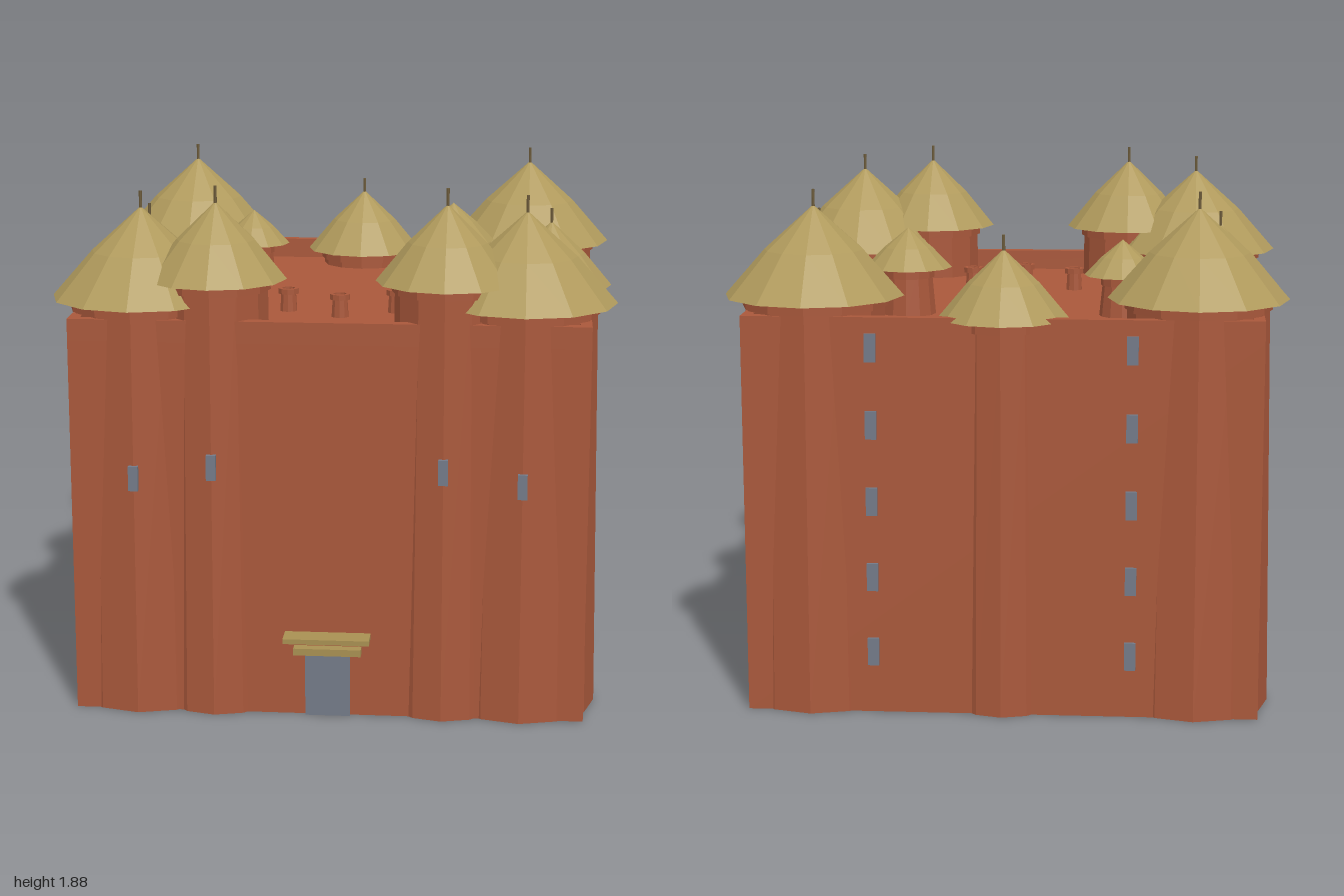
import * as THREE from 'three';

const material = (name, color, side = THREE.FrontSide) => {
  const m = new THREE.MeshStandardMaterial({ color, flatShading: true, side });
  m.name = name;
  return m;
};

export function createModel() {
  const clay = material('red clay', 0xa9583b);
  const thatch = material('straw thatch', 0xb09a5c);
  const wood = material('pale wood', 0xa89052);
  const slate = material('slate blue', 0x737a88);
  const darkWood = material('dark wood', 0x6b5a3a);

  const fort = new THREE.Group();
  fort.name = 'clayFort';

  const add = (parent, name, geometry, mat, x, y, z) => {
    const mesh = new THREE.Mesh(geometry, mat);
    mesh.name = name;
    mesh.position.set(x, y, z);
    parent.add(mesh);
    return mesh;
  };
  // Box given by its centre in x and z and its bottom height
  const box = (name, mat, w, h, d, x, y, z, parent = fort) =>
    add(parent, name, new THREE.BoxGeometry(w, h, d), mat, x, y + h / 2, z);

  // Main block and parapet
  const half = 0.908, roofY = 1.35, wallTop = 1.427, rim = 0.04;
  box('mainBlock', clay, half * 2, roofY, half * 2, 0, 0, 0);
  for (const s of [-1, 1]) {
    box('parapetLong', clay, half * 2, wallTop - roofY, rim, 0, roofY, s * (half - rim / 2));
    box('parapetSide', clay, rim, wallTop - roofY, (half - rim) * 2, s * (half - rim / 2), roofY, 0);
  }

  // Tapered twelve-sided tower with a collar, thatched roof and optional finial
  function tower(name, { x, z, base, top, from = 0, eave, roofR, apex, spike }) {
    const g = new THREE.Group();
    g.name = name;
    g.position.set(x, 0, z);
    fort.add(g);
    const h = eave - from, rise = apex - eave;
    add(g, 'towerShaft', new THREE.CylinderGeometry(top, base, h, 12), clay, 0, from + h / 2, 0);
    add(g, 'towerCollar', new THREE.CylinderGeometry(top + 0.01, top + 0.01, 0.032, 12), clay, 0, eave - 0.021, 0);
    const profile = [[0, 0], [roofR, 0], [roofR * 0.55, rise * 0.51], [0, rise]]
      .map(([r, y]) => new THREE.Vector2(r, y));
    add(g, 'thatchedRoof', new THREE.LatheGeometry(profile, 12), thatch, 0, eave, 0);
    if (spike) {
      const len = spike - apex + 0.03;
      add(g, 'finial', new THREE.CylinderGeometry(0.006, 0.006, len, 6), darkWood, 0, spike - len / 2, 0);
    }
  }

  for (const s of [-1, 1]) {
    for (const f of [-1, 1]) {
      tower('cornerTower', { x: s * 0.68, z: f * 0.68, base: 0.27, top: 0.25, eave: 1.47, roofR: 0.32, apex: 1.79, spike: 1.845 });
    }
    tower('gateTower', { x: s * 0.405, z: 0.747, base: 0.203, top: 0.182, eave: 1.55, roofR: 0.25, apex: 1.82, spike: 1.875 });
    tower('sideTower', { x: s * 0.768, z: 0, base: 0.18, top: 0.166, eave: 1.41, roofR: 0.23, apex: 1.65, spike: 1.7 });
  }
  tower('backTower', { x: 0, z: -0.768, base: 0.18, top: 0.166, eave: 1.41, roofR: 0.23, apex: 1.65, spike: 1.7 });

  // Small turrets standing on the roof
  tower('leftTurret', { x: 0.385, z: -0.325, base: 0.1, top: 0.085, from: roofY, eave: 1.523, roofR: 0.16, apex: 1.668 });
  tower('rightTurret', { x: -0.405, z: -0.325, base: 0.085, top: 0.07, from: roofY, eave: 1.5, roofR: 0.14, apex: 1.63 });

  // Hollow roof vents
  const vent = new THREE.LatheGeometry(
    [[0.032, 0], [0.028, 0.065], [0.038, 0.065], [0.038, 0.085], [0.024, 0.085], [0.024, 0.012], [0, 0.012]]
      .map(([r, y]) => new THREE.Vector2(r, y)), 10);
  for (const [x, z] of [[-0.2, 0.3], [0.2, 0.3], [0, 0.4]]) add(fort, 'roofVent', vent, clay, x, roofY, z);

  // Windows: five rows on the side and back walls
  for (let i = 0; i < 5; i++) {
    const y = 0.175 + i * 0.274;
    for (const s of [-1, 1]) {
      for (const f of [-1, 1]) {
        box('sideWindow', slate, 0.016, 0.1, 0.04, s * (half + 0.004), y, f * 0.455);
      }
      box('backWindow', slate, 0.04, 0.1, 0.016, s * 0.455, y, -half - 0.004);
    }
  }
  // Windows on the front towers
  for (const s of [-1, 1]) {
    box('cornerWindow', slate, 0.034, 0.088, 0.03, s * 0.68, 0.824, 0.938);
    box('gateTowerWindow', slate, 0.034, 0.09, 0.03, s * 0.405, 0.868, 0.938);
  }

  // Door, lintel and canopy
  box('door', slate, 0.16, 0.232, 0.03, 0, 0, half);
  box('lintel', wood, 0.24, 0.025, 0.06, 0, 0.232, half + 0.01);
  box('canopy', wood, 0.305, 0.018, 0.1, 0, 0.29, half + 0.037);

  // Ladder on the left wall
  const ladder = new THREE.Group();
  ladder.name = 'ladder';
  fort.add(ladder);
  const lz = 0.207;
  box('ladderBoard', wood, 0.012, 1.23, 0.074, half + 0.006, 0, lz, ladder);
  for (const s of [-1, 1]) box('ladderRail', wood, 0.022, 1.23, 0.012, half + 0.011, 0, lz + s * 0.032, ladder);
  for (let i = 0; i < 12; i++) {
    box('ladderRung', wood, 0.03, 0.014, 0.08, half + 0.015, 0.07 + i * 0.101, lz, ladder);
  }

  return fort;
}
